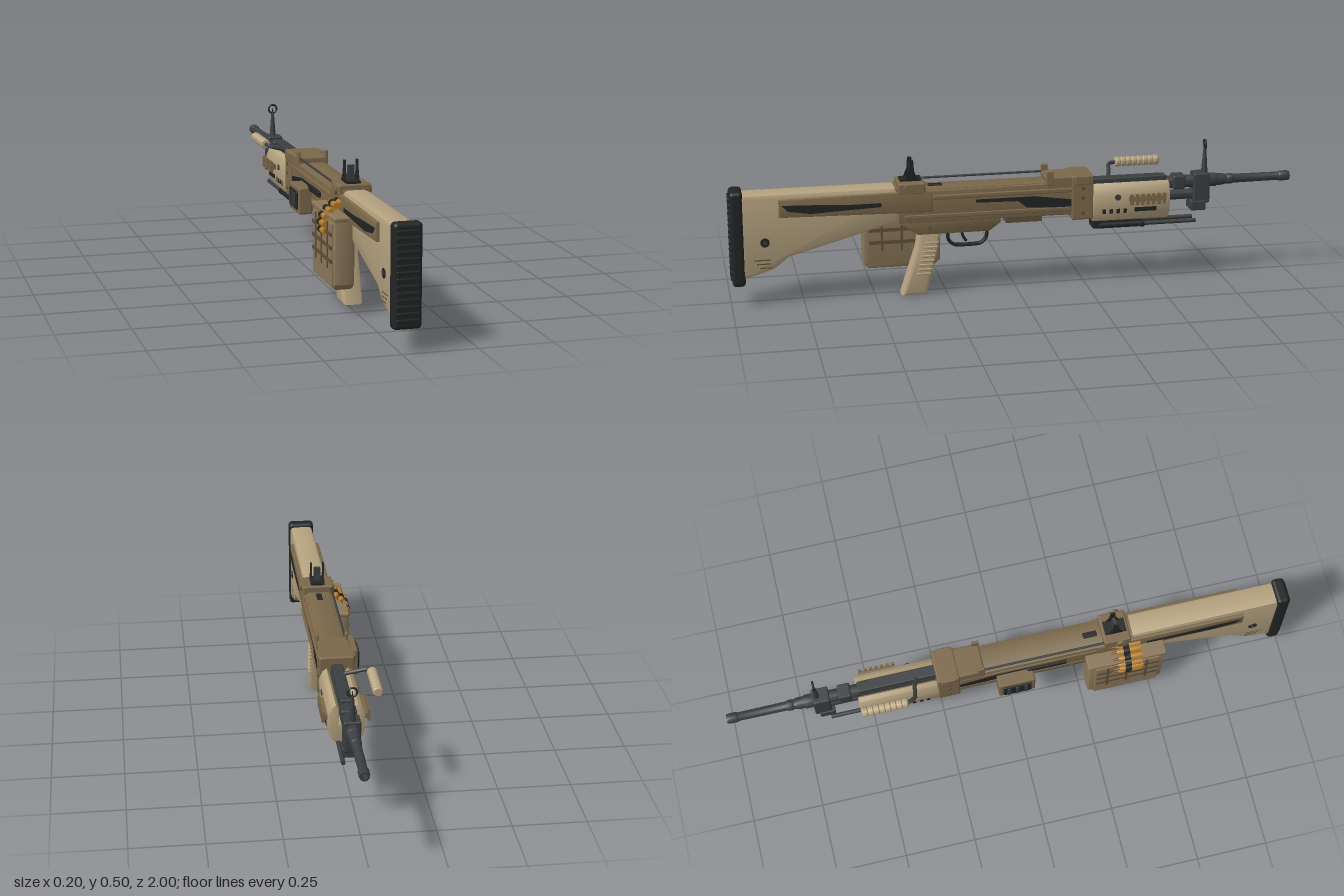
import * as THREE from 'three';
import { toCreasedNormals } from 'three/addons/utils/BufferGeometryUtils.js';
import { RoundedBoxGeometry } from 'three/addons/geometries/RoundedBoxGeometry.js';

const CX = 0.02; // centre plane of the main body
const mat = (color) => new THREE.MeshStandardMaterial({ color });
const M = {
  tan: mat(0xb5a27f), brown: mat(0x7b684a), box: mat(0x8a7759), strap: mat(0x5f5038),
  black: mat(0x222424), metal: mat(0x3b3e40), brass: mat(0xb57c2a), copper: mat(0x80502a),
};

export function createModel() {
  const model = new THREE.Group();
  const add = (name, geo, m, parent = model) => {
    const mesh = new THREE.Mesh(geo, m);
    mesh.name = name;
    parent.add(mesh);
    return mesh;
  };
  const group = (name) => {
    const g = new THREE.Group();
    g.name = name;
    model.add(g);
    return g;
  };
  // Box from its limits, rounded when r > 0
  const block = (name, m, [x0, x1], [y0, y1], [z0, z1], r = 0, parent = model) => {
    const s = [x1 - x0, y1 - y0, z1 - z0];
    const geo = r ? new RoundedBoxGeometry(...s, 2, r) : new THREE.BoxGeometry(...s);
    geo.translate((x0 + x1) / 2, (y0 + y1) / 2, (z0 + z1) / 2);
    return add(name, geo, m, parent);
  };
  const extrude = (pts, depth, b) => {
    const shape = new THREE.Shape(pts.map(([u, v]) => new THREE.Vector2(u, v)));
    const geo = new THREE.ExtrudeGeometry(shape, {
      depth: depth - 2 * b, bevelEnabled: b > 0, bevelSize: b, bevelThickness: b, bevelOffset: -b, bevelSegments: 2,
    });
    return toCreasedNormals(geo.translate(0, 0, b), 0.6);
  };
  // Side outline of [z, y] points, extruded across x
  const side = (name, m, pts, [x0, x1], b = 0, parent = model) =>
    add(name, extrude(pts.map(([z, y]) => [-z, y]), x1 - x0, b).rotateY(Math.PI / 2).translate(x0, 0, 0), m, parent);
  // Cross-section of [x, y] points, extruded along z
  const section = (name, m, pts, [z0, z1], b = 0, parent = model) =>
    add(name, extrude(pts, z1 - z0, b).translate(0, 0, z0), m, parent);
  // Turned part along z from [radius, z] points listed front (-z) to back
  const turned = (name, m, pts, x, y, parent = model, seg = 20) => {
    const geo = new THREE.LatheGeometry(pts.map(([r, z]) => new THREE.Vector2(r, z)), seg);
    return add(name, toCreasedNormals(geo.rotateX(Math.PI / 2), 0.6).translate(x, y, 0), m, parent);
  };
  const rod = (name, m, x, y, [z0, z1], r, parent = model) =>
    turned(name, m, [[0, z0], [r, z0], [r, z1], [0, z1]], x, y, parent, 14);
  const disc = (name, m, x, y, z, r, len, parent = model) =>
    add(name, new THREE.CylinderGeometry(r, r, len, 16).rotateZ(Math.PI / 2).translate(x, y, z), m, parent);
  const both = (fn) => [-1, 1].forEach(fn);
  // x limits of a piece lying d0..d1 out from the centre plane on side s
  const out = (s, d0, d1) => (s > 0 ? [CX + d0, CX + d1] : [CX - d1, CX - d0]);

  // Stock and ribbed butt pad
  const stock = group('stock');
  side('stockBody', M.tan, [[0.965, 0.40], [0.965, 0.10], [0.93, 0.105], [0.85, 0.13], [0.80, 0.17], [0.42, 0.275], [0.40, 0.395], [0.45, 0.40]],
    [-0.022, 0.062], 0.014, stock);
  block('buttPad', M.black, [-0.028, 0.067], [0.075, 0.413], [0.95, 0.995], 0.013, stock);
  for (let i = 0; i < 14; i++)
    block('padRib', M.black, [-0.018, 0.057], [0.098 + i * 0.0217, 0.110 + i * 0.0217], [0.985, 1.0], 0.003, stock);
  both((s) => {
    side('sideRail', M.brown, [[0.83, 0.38], [0.83, 0.318], [0.30, 0.308], [0.30, 0.385]], out(s, 0.035, 0.055), 0.005, stock);
    side('railInset', M.black, [[0.82, 0.362], [0.80, 0.34], [0.72, 0.328], [0.56, 0.335], [0.48, 0.338], [0.48, 0.352], [0.60, 0.352], [0.70, 0.358]],
      out(s, 0.05, 0.057), 0, stock);
    disc('slingSocket', M.black, CX + s * 0.042, 0.23, 0.88, 0.016, 0.006, stock);
    disc('slingSocketCore', M.metal, CX + s * 0.044, 0.23, 0.88, 0.007, 0.008, stock);
    for (let i = 0; i < 3; i++)
      block('stockGroove', M.strap, out(s, 0.04, 0.0425), [0.165 - i * 0.014, 0.169 - i * 0.014], [0.86, 0.92 - i * 0.01], 0, stock);
  });

  // Receiver
  const receiver = group('receiver');
  side('receiverBody', M.brown, [[0.42, 0.385], [0.42, 0.27], [-0.20, 0.268], [-0.20, 0.385]], [-0.033, 0.071], 0.006, receiver);
  side('topCover', M.brown, [[0.43, 0.40], [0.43, 0.37], [-0.10, 0.37], [-0.10, 0.388], [0.30, 0.39]], [-0.022, 0.062], 0.006, receiver);
  block('frontCover', M.brown, [-0.035, 0.073], [0.36, 0.408], [-0.265, -0.10], 0.006, receiver);
  block('trunnion', M.brown, [-0.04, 0.08], [0.25, 0.41], [-0.268, -0.19], 0.006, receiver);
  side('lowerReceiver', M.brown, [[0.41, 0.28], [0.41, 0.262], [0.35, 0.222], [0.10, 0.222], [0.06, 0.25], [0.06, 0.28]], [-0.018, 0.058], 0.005, receiver);
  both((s) => {
    block('sideRib', M.brown, out(s, 0.045, 0.057), [0.352, 0.368], [-0.20, 0.30], 0.004, receiver);
    block('lowerRib', M.brown, out(s, 0.045, 0.055), [0.285, 0.30], [-0.19, 0.40], 0.003, receiver);
    side('sideSlot', M.black, [[0.15, 0.344], [0.15, 0.333], [0.0, 0.33], [-0.03, 0.305], [-0.19, 0.295], [-0.19, 0.325], [-0.06, 0.344]],
      out(s, 0.045, 0.0535), 0, receiver);
    block('frontLug', M.brown, out(s, 0.045, 0.055), [0.38, 0.43], [-0.125, -0.10], 0.003, receiver);
    block('trunnionLug', M.brown, out(s, 0.055, 0.064), [0.378, 0.41], [-0.255, -0.20], 0.004, receiver);
    [0.275, 0.33, 0.365].forEach((y) => disc('trunnionPin', M.strap, CX + s * 0.06, y, -0.23, 0.007, 0.006, receiver));
    [0.09, 0.2, 0.31].forEach((z) => disc('lowerPin', M.strap, CX + s * 0.038, 0.245, z, 0.006, 0.006, receiver));
  });
  rod('topRod', M.metal, -0.027, 0.405, [-0.11, 0.34], 0.004, receiver);
  block('coverLatch', M.black, [0.01, 0.03], [0.385, 0.395], [0.26, 0.31], 0.003, receiver);

  // Ejection housing on the right flank
  const port = group('ejectionHousing');
  block('housing', M.brown, [-0.078, -0.03], [0.24, 0.335], [-0.06, 0.07], 0.006, port);
  block('housingOpening', M.black, [-0.084, -0.07], [0.255, 0.32], [-0.045, 0.055], 0.004, port);
  for (let i = 0; i < 3; i++)
    block('housingBar', M.metal, [-0.087, -0.08], [0.26, 0.315], [-0.032 + i * 0.03, -0.02 + i * 0.03], 0.002, port);
  block('lowerOpening', M.strap, [-0.02, 0.05], [0.245, 0.272], [-0.09, 0.04], 0, port);
  block('chargingSlot', M.black, [-0.043, -0.03], [0.325, 0.345], [0.05, 0.19], 0.003, port);

  // Grip, trigger and guard
  const grip = group('grip');
  side('gripBody', M.tan, [[0.345, 0.235], [0.355, 0.17], [0.41, 0.0], [0.32, 0.0], [0.265, 0.235]], [-0.016, 0.055], 0.013, grip);
  for (let i = 0; i < 8; i++) {
    const y = 0.075 + i * 0.016, z = 0.34 - (y - 0.04) * 0.26;
    block('gripRidge', M.tan, [-0.019, 0.058], [y, y + 0.008], [z - 0.024, z + 0.026], 0.003, grip);
  }
  const guard = new THREE.CatmullRomCurve3([[0.24, 0.235], [0.24, 0.19], [0.215, 0.168], [0.13, 0.168], [0.105, 0.19], [0.10, 0.23]]
    .map(([z, y]) => new THREE.Vector3(0, y, z)), false, 'catmullrom', 0.3);
  add('triggerGuard', new THREE.TubeGeometry(guard, 30, 0.006, 8).scale(2, 1, 1).translate(CX, 0, 0), M.black, grip);
  const trigger = new THREE.QuadraticBezierCurve3(new THREE.Vector3(CX, 0.23, 0.19), new THREE.Vector3(CX, 0.20, 0.195), new THREE.Vector3(CX, 0.18, 0.175));
  add('trigger', new THREE.TubeGeometry(trigger, 10, 0.005, 8), M.black, grip);

  // Ammunition box with straps, hung on the right
  const ammo = group('ammoBox');
  side('boxBody', M.box, [[0.535, 0.325], [0.535, 0.105], [0.515, 0.085], [0.285, 0.085], [0.262, 0.105], [0.262, 0.325]], [-0.083, -0.012], 0.012, ammo);
  block('boxLid', M.box, [-0.086, -0.03], [0.318, 0.333], [0.258, 0.54], 0.005, ammo);
  block('boxPanel', M.box, [-0.088, -0.08], [0.095, 0.31], [0.285, 0.515], 0.003, ammo);
  both((s) => {
    const xs = s < 0 ? [-0.091, -0.086] : [-0.014, -0.0095];
    for (let i = 0; i < 3; i++) {
      block('strapRow', M.strap, xs, [0.175 + i * 0.045, 0.188 + i * 0.045], [0.29, 0.515], 0, ammo);
      block('strapColumn', M.strap, xs, [0.15, 0.31], [0.325 + i * 0.07, 0.333 + i * 0.07], 0, ammo);
    }
  });

  // Cartridge belt curving from the box into the feed
  const belt = group('cartridgeBelt');
  [[-0.09, 0.267], [-0.092, 0.292], [-0.086, 0.315], [-0.071, 0.335], [-0.052, 0.352], [-0.034, 0.358]].forEach(([x, y], i) => {
    const z = i % 2 * 0.004;
    turned('cartridge', M.brass, [[0.006, 0.365 + z], [0.0105, 0.378 + z], [0.0115, 0.45 + z], [0, 0.45 + z]], x, y, belt, 12);
    turned('bulletTip', M.copper, [[0, 0.34 + z], [0.004, 0.35 + z], [0.006, 0.366 + z]], x, y, belt, 12);
    rod('beltLink', M.black, x, y, [0.39, 0.412], 0.0125, belt);
  });

  // Rear sight
  const rear = group('rearSight');
  block('rearBase', M.brown, [-0.036, 0.076], [0.375, 0.415], [0.325, 0.42], 0.006, rear);
  disc('rearKnob', M.brown, 0.075, 0.395, 0.385, 0.018, 0.018, rear);
  disc('rearKnob', M.brown, -0.035, 0.395, 0.385, 0.018, 0.018, rear);
  block('sightBed', M.black, [-0.004, 0.044], [0.41, 0.422], [0.335, 0.41], 0, rear);
  both((s) => side('sightWing', M.black, [[0.395, 0.415], [0.345, 0.415], [0.36, 0.45], [0.363, 0.49], [0.377, 0.49], [0.38, 0.45]], out(s, 0.019, 0.025), 0, rear));
  block('sightLeaf', M.metal, [0.008, 0.032], [0.415, 0.472], [0.364, 0.376], 0, rear);

  // Handguard: U-shaped shell around the barrel
  const hand = group('handguard');
  const half = [[0.025, 0.30], [0.025, 0.355], [0.036, 0.372], [0.05, 0.362], [0.061, 0.335], [0.061, 0.27], [0.045, 0.238]];
  section('handguardShell', M.tan, [...half.map(([x, y]) => [CX - x, y]).reverse(), ...half.map(([x, y]) => [CX + x, y])].reverse(), [-0.545, -0.265], 0.005, hand);
  both((s) => {
    block('railStem', M.brown, out(s, 0.055, 0.074), [0.308, 0.327], [-0.525, -0.395], 0, hand);
    for (let i = 0; i < 7; i++)
      block('railTooth', M.brown, out(s, 0.072, 0.08), [0.298, 0.337], [-0.525 + i * 0.0195, -0.513 + i * 0.0195], 0, hand);
    for (let i = 0; i < 4; i++)
      block('ventSlot', M.black, out(s, 0.055, 0.0625), [0.247 + 0.02, 0.283], [-0.312 - i * 0.025, -0.30 - i * 0.025], 0, hand);
    block('ventWindow', M.black, out(s, 0.055, 0.0625), [0.27, 0.285], [-0.495, -0.415], 0, hand);
    disc('handguardScrew', M.metal, CX + s * 0.061, 0.325, -0.355, 0.011, 0.006, hand);
  });

  // Barrel, gas tube and front sight
  const barrel = group('barrel');
  turned('barrelTube', M.metal, [[0.009, -0.95], [0.009, -1.0], [0.016, -1.0], [0.018, -0.99], [0.018, -0.965], [0.015, -0.96], [0.016, -0.79], [0.019, -0.785],
    [0.019, -0.77], [0.017, -0.765], [0.021, -0.75], [0.021, -0.73], [0.024, -0.725], [0.024, -0.70], [0.022, -0.62], [0.024, -0.25], [0, -0.25]], CX, 0.353, barrel);
  block('barrelCover', M.metal, [0.0, 0.04], [0.36, 0.385], [-0.54, -0.26], 0.005, barrel);
  rod('gasTube', M.metal, CX, 0.305, [-0.67, -0.25], 0.018, barrel);
  block('gasBlock', M.metal, [-0.008, 0.048], [0.275, 0.385], [-0.70, -0.64], 0.006, barrel);
  block('gasBlockFoot', M.metal, [-0.012, 0.052], [0.25, 0.285], [-0.685, -0.63], 0.004, barrel);
  block('barrelCollar', M.metal, [-0.006, 0.046], [0.33, 0.38], [-0.61, -0.565], 0.006, barrel);
  add('sightPost', new THREE.CylinderGeometry(0.005, 0.012, 0.09, 12).translate(CX, 0.428, -0.685), M.metal, barrel);
  add('sightRing', new THREE.TorusGeometry(0.0155, 0.0035, 8, 24).translate(CX, 0.485, -0.685), M.black, barrel);
  add('sightBead', new THREE.CylinderGeometry(0.002, 0.002, 0.018, 6).translate(CX, 0.478, -0.685), M.black, barrel);

  // Carrying handle, swung to the right
  const carry = group('carryHandle');
  const arm = new THREE.CatmullRomCurve3([[0.015, 0.375, -0.33], [-0.02, 0.39, -0.345], [-0.075, 0.405, -0.36], [-0.083, 0.408, -0.39]].map((p) => new THREE.Vector3(...p)));
  add('handleArm', new THREE.TubeGeometry(arm, 20, 0.007, 8), M.metal, carry);
  const ridges = [[0, -0.543], [0.013, -0.543]];
  for (let i = 0; i < 8; i++) ridges.push([0.0175, -0.537 + i * 0.02], [0.0175, -0.526 + i * 0.02], [0.0145, -0.522 + i * 0.02]);
  turned('handleGrip', M.tan, [...ridges, [0, -0.38]], -0.083, 0.408, carry);

  // Folded bipod under the handguard
  const bipod = group('bipod');
  both((s) => {
    const x = CX + s * 0.024;
    rod('bipodLeg', M.metal, x, 0.213, [-0.65, -0.275], 0.0075, bipod);
    rod('bipodSleeve', M.black, x, 0.213, [-0.44, -0.29], 0.0105, bipod);
    rod('bipodCollar', M.black, x, 0.213, [-0.46, -0.445], 0.012, bipod);
  });
  block('bipodMount', M.black, [-0.012, 0.052], [0.205, 0.245], [-0.30, -0.272], 0.004, bipod);
  return model;
}
